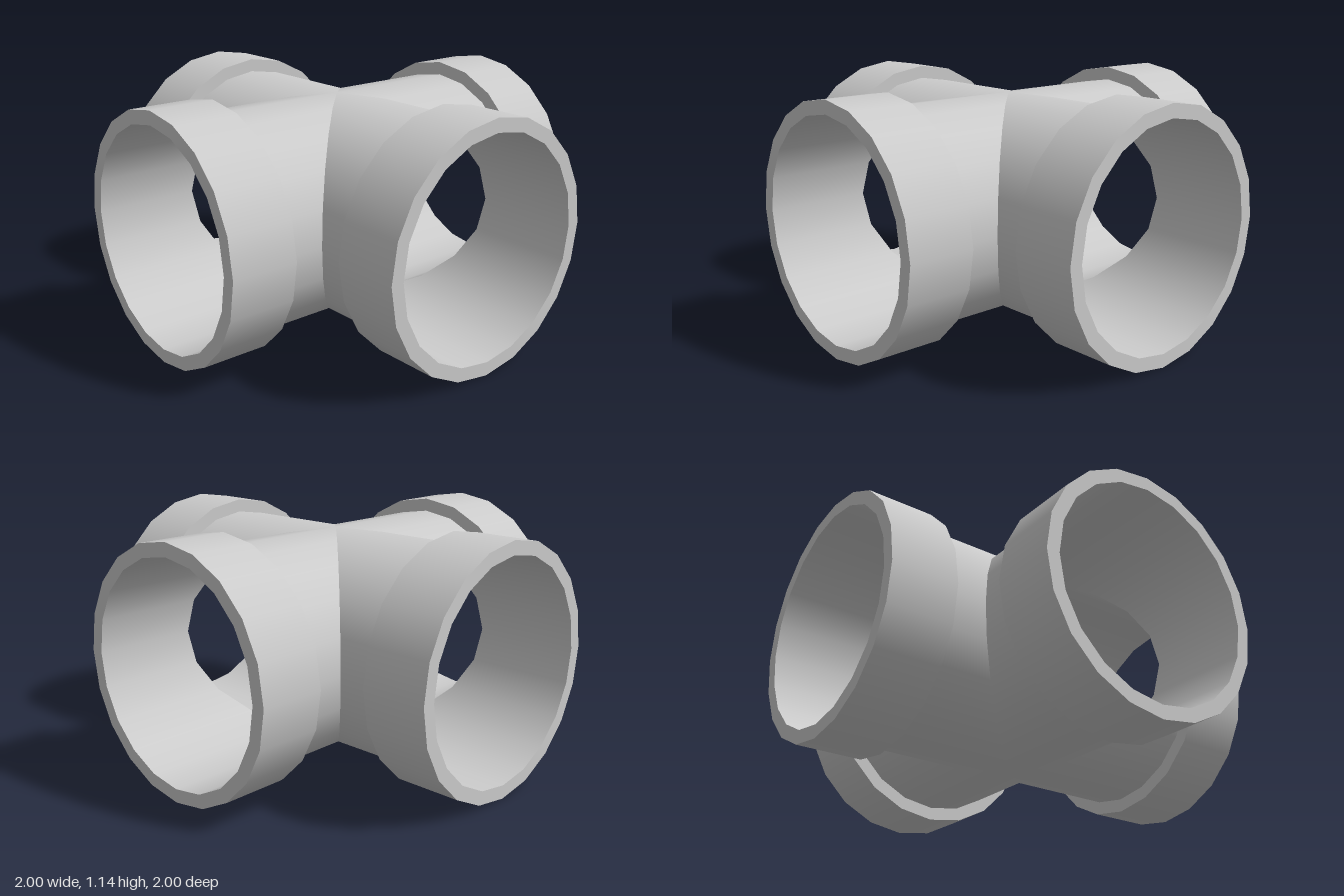
import * as THREE from 'three';

const SIDES = 20;
const BORE = 0.508;    // pipe radius
const COLLAR = 0.571;  // socket collar radius
const BACK = 0.69;     // where the collar starts
const END = 1;         // open end of each arm

// Open tube along +z, from z0 to z1
function tube(radius, z0, z1) {
  const g = new THREE.CylinderGeometry(radius, radius, z1 - z0, SIDES, 1, true);
  g.rotateX(Math.PI / 2);
  g.translate(0, 0, (z0 + z1) / 2);
  return g;
}

// Pipe whose inner end is mitred on the planes z = |x|, to meet its neighbours
function mitredPipe() {
  const g = tube(BORE, 0, END);
  const p = g.attributes.position;
  for (let i = 0; i < p.count; i++) {
    if (p.getZ(i) < END / 2) p.setZ(i, Math.abs(p.getX(i)));
  }
  return g;
}

export function createModel() {
  const model = new THREE.Group();
  model.name = 'pipeCross';

  const grey = new THREE.MeshStandardMaterial({ color: 0xcccccc, side: THREE.DoubleSide });
  const pipe = mitredPipe();
  const collar = tube(COLLAR, BACK, END);
  const rim = new THREE.RingGeometry(BORE, COLLAR, SIDES, 1).translate(0, 0, END);
  const shoulder = new THREE.RingGeometry(BORE, COLLAR, SIDES, 1).rotateY(Math.PI).translate(0, 0, BACK);

  // Four identical arms: front, left, back, right
  ['front', 'left', 'back', 'right'].forEach((side, i) => {
    const arm = new THREE.Group();
    arm.name = side + 'Arm';
    const parts = { Pipe: pipe, Collar: collar, CollarRim: rim, CollarShoulder: shoulder };
    for (const [name, geometry] of Object.entries(parts)) {
      const mesh = new THREE.Mesh(geometry, grey);
      mesh.name = side + name;
      arm.add(mesh);
    }
    arm.rotation.y = i * Math.PI / 2;
    arm.position.y = COLLAR;
    model.add(arm);
  });

  return model;
}
